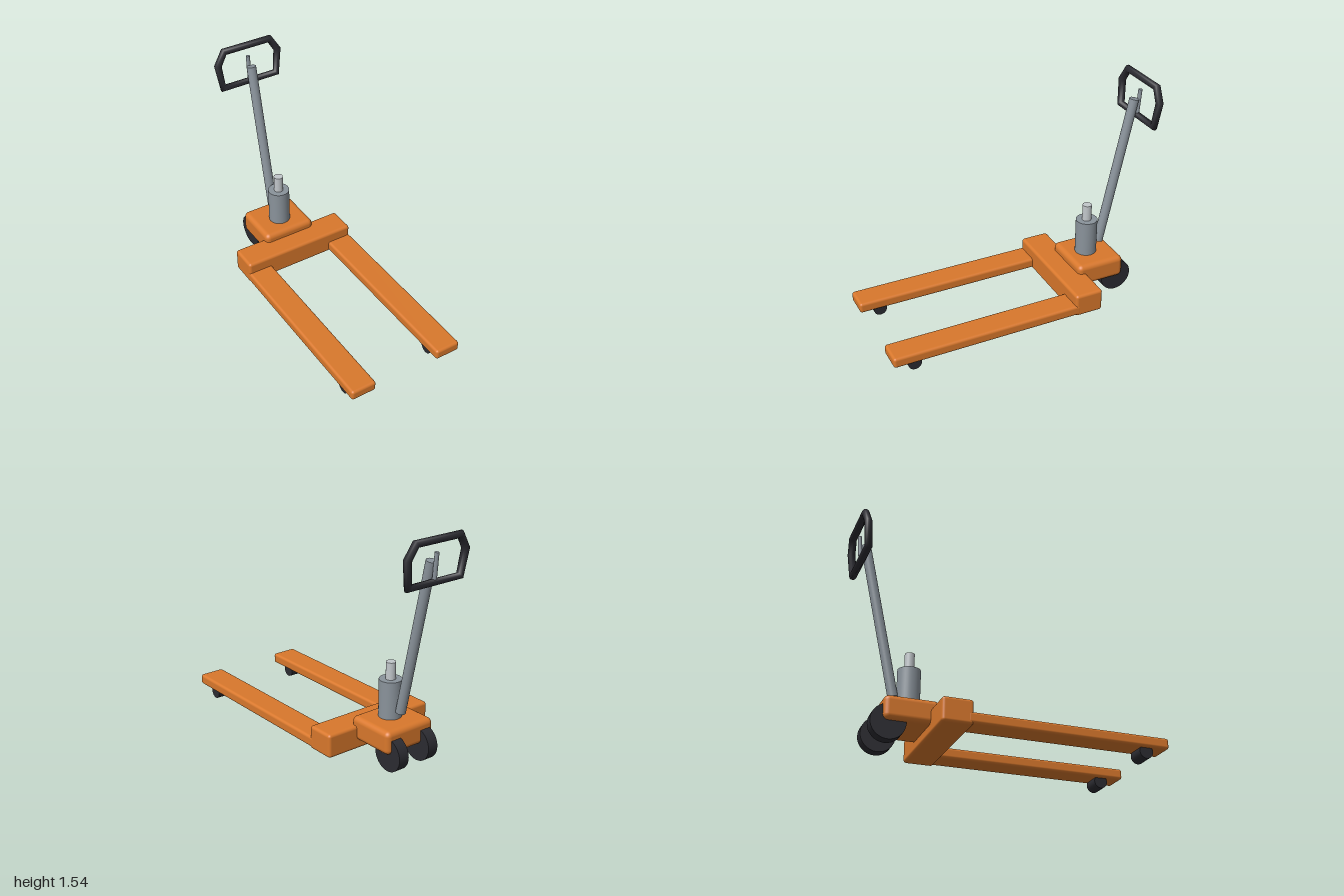
import * as THREE from 'three';
import { RoundedBoxGeometry } from 'three/addons/geometries/RoundedBoxGeometry.js';

// Straight-sided closed loop whose rings sit on the corners, mitred
class CornerLoop extends THREE.Curve {
  constructor(points) {
    super();
    this.points = points;
  }
  corner(i) {
    const n = this.points.length;
    return this.points[((i % n) + n) % n];
  }
  getPointAt(u) {
    return this.corner(Math.round(u * this.points.length)).clone();
  }
  getPoint(u) {
    return this.getPointAt(u);
  }
  getTangentAt(u) {
    const i = Math.round(u * this.points.length);
    const before = this.corner(i).clone().sub(this.corner(i - 1)).normalize();
    const after = this.corner(i + 1).clone().sub(this.corner(i)).normalize();
    return before.add(after).normalize();
  }
}

export function createModel() {
  const model = new THREE.Group();
  model.name = 'palletTruck';

  const paint = (name, color) => {
    const m = new THREE.MeshStandardMaterial({ color });
    m.name = name;
    return m;
  };
  const orange = paint('orange paint', 0xd9782c);
  const steel = paint('steel', 0x8a939b);
  const chrome = paint('bright steel', 0xc2c7cb);
  const rubber = paint('black rubber', 0x2b2b31);

  const add = (name, geometry, material) => {
    const mesh = new THREE.Mesh(geometry, material);
    mesh.name = name;
    model.add(mesh);
    return mesh;
  };
  // Rounded box given by its two extreme corners
  const box = (name, [x0, y0, z0], [x1, y1, z1], radius) =>
    add(name, new RoundedBoxGeometry(x1 - x0, y1 - y0, z1 - z0, 4, radius), orange)
      .position.set((x0 + x1) / 2, (y0 + y1) / 2, (z0 + z1) / 2);
  // Cylinder between two points
  const rod = (name, from, to, radius, material, sides = 32) => {
    const a = new THREE.Vector3(...from), b = new THREE.Vector3(...to);
    const dir = b.clone().sub(a);
    const mesh = add(name, new THREE.CylinderGeometry(radius, radius, dir.length(), sides), material);
    mesh.position.copy(a).add(b).multiplyScalar(0.5);
    mesh.quaternion.setFromUnitVectors(new THREE.Vector3(0, 1, 0), dir.normalize());
  };

  // Chassis
  box('crossBeam', [-0.415, 0.06, -0.5], [0.415, 0.22, -0.3], 0.02);
  box('pumpBase', [-0.192, 0.12, -0.792], [0.192, 0.277, -0.442], 0.035);

  // Forks with their rollers, and steering wheels
  for (const [side, s] of [['left', 1], ['right', -1]]) {
    const x = s * 0.326;
    box(side + 'Fork', [x - 0.09, 0.07, -0.34], [x + 0.09, 0.142, 1], 0.018);
    rod(side + 'ForkRoller', [x - 0.062, 0.046, 0.85], [x + 0.062, 0.046, 0.85], 0.046, rubber, 24);
    rod(side + 'SteeringWheel', [s * 0.122 - 0.038, 0.113, -0.755], [s * 0.122 + 0.038, 0.113, -0.755], 0.113, rubber);
  }

  // Hydraulic pump
  rod('pumpCylinder', [0, 0.26, -0.595], [0, 0.53, -0.595], 0.075, steel);
  rod('pumpPiston', [0, 0.5, -0.595], [0, 0.645, -0.595], 0.032, chrome);

  // Tiller shaft and release lever
  rod('tillerShaft', [0, 0.335, -0.694], [0, 1.375, -0.921], 0.033, steel);
  rod('releaseLever', [0, 1.26, -0.951], [0, 1.435, -0.965], 0.014, steel, 16);

  // Six-cornered grip loop, leaning back
  const outline = [[0.207, 1.252], [0.23, 1.422], [0.175, 1.514], [-0.175, 1.514], [-0.23, 1.422], [-0.207, 1.252]];
  const corners = outline.map(([x, y]) => new THREE.Vector3(x, y, -0.951 - (y - 1.252) * 0.088));
  add('handleGrip', new THREE.TubeGeometry(new CornerLoop(corners), corners.length, 0.026, 16, true), rubber);

  return model;
}
